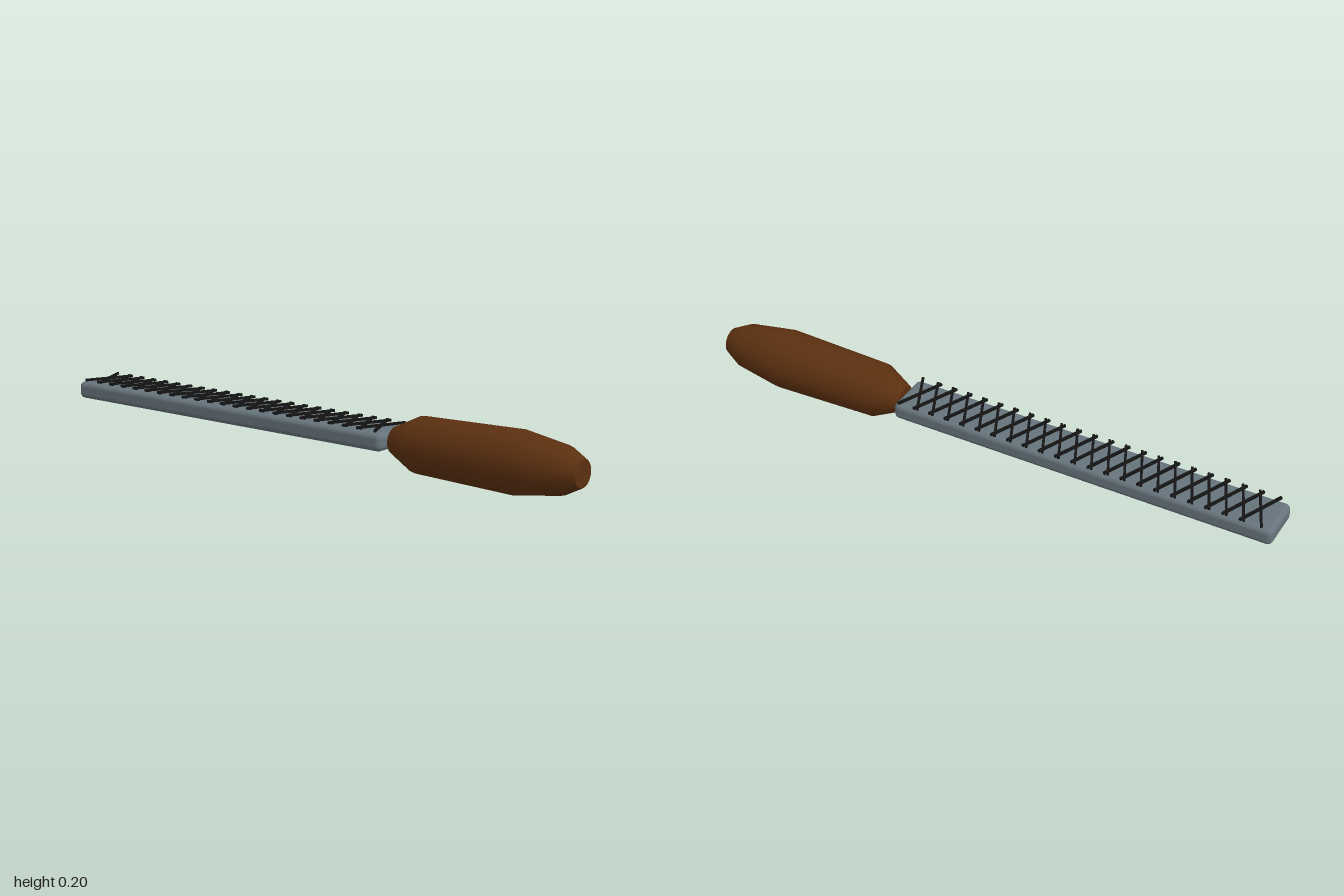
import * as THREE from 'three';
import { RoundedBoxGeometry } from 'three/addons/geometries/RoundedBoxGeometry.js';

const material = (name, color) => {
  const m = new THREE.MeshStandardMaterial({ color });
  m.name = name;
  return m;
};

export function createModel() {
  const wood = material('dark wood', 0x5c3010);
  const steel = material('grey steel', 0x67747c);
  const black = material('tooth black', 0x141414);

  const model = new THREE.Group();
  model.name = 'handRasp';
  const add = (parent, name, geometry, mat, x, y, z) => {
    const mesh = new THREE.Mesh(geometry, mat);
    mesh.name = name;
    mesh.position.set(x, y, z);
    parent.add(mesh);
    return mesh;
  };

  // Turned handle, its axis along z
  const axisY = 0.102;
  const profile = [
    [0.044, 0.32], [0.09, 0.415], [0.1, 0.78], [0.075, 0.94], [0.044, 1],
  ].map(([r, z]) => new THREE.Vector2(r, z));
  add(model, 'handle', new THREE.LatheGeometry(profile, 20).rotateX(Math.PI / 2), wood, 0, axisY, 0);
  add(model, 'handleButt', new THREE.CircleGeometry(0.044, 20), wood, 0, axisY, 1);
  add(model, 'handleNeckEnd', new THREE.CircleGeometry(0.044, 20).rotateY(Math.PI), wood, 0, axisY, 0.32);

  // Flat blade with softened edges
  add(model, 'blade', new RoundedBoxGeometry(0.16, 0.058, 1.318, 3, 0.018), steel, 0, 0.104, -0.341);

  // Crossed rows of cutting teeth just above the blade
  const teeth = new THREE.Group();
  teeth.name = 'teeth';
  model.add(teeth);
  const bar = new THREE.BoxGeometry(0.172, 0.008, 0.008);
  const rows = 22;
  for (let i = 0; i < rows; i++) {
    const z = 0.263 - (i * 1.192) / (rows - 1);
    for (const side of [-1, 1]) {
      add(teeth, 'toothBar', bar, black, 0, 0.142, z).rotation.y = side * 0.42;
    }
  }
  return model;
}
